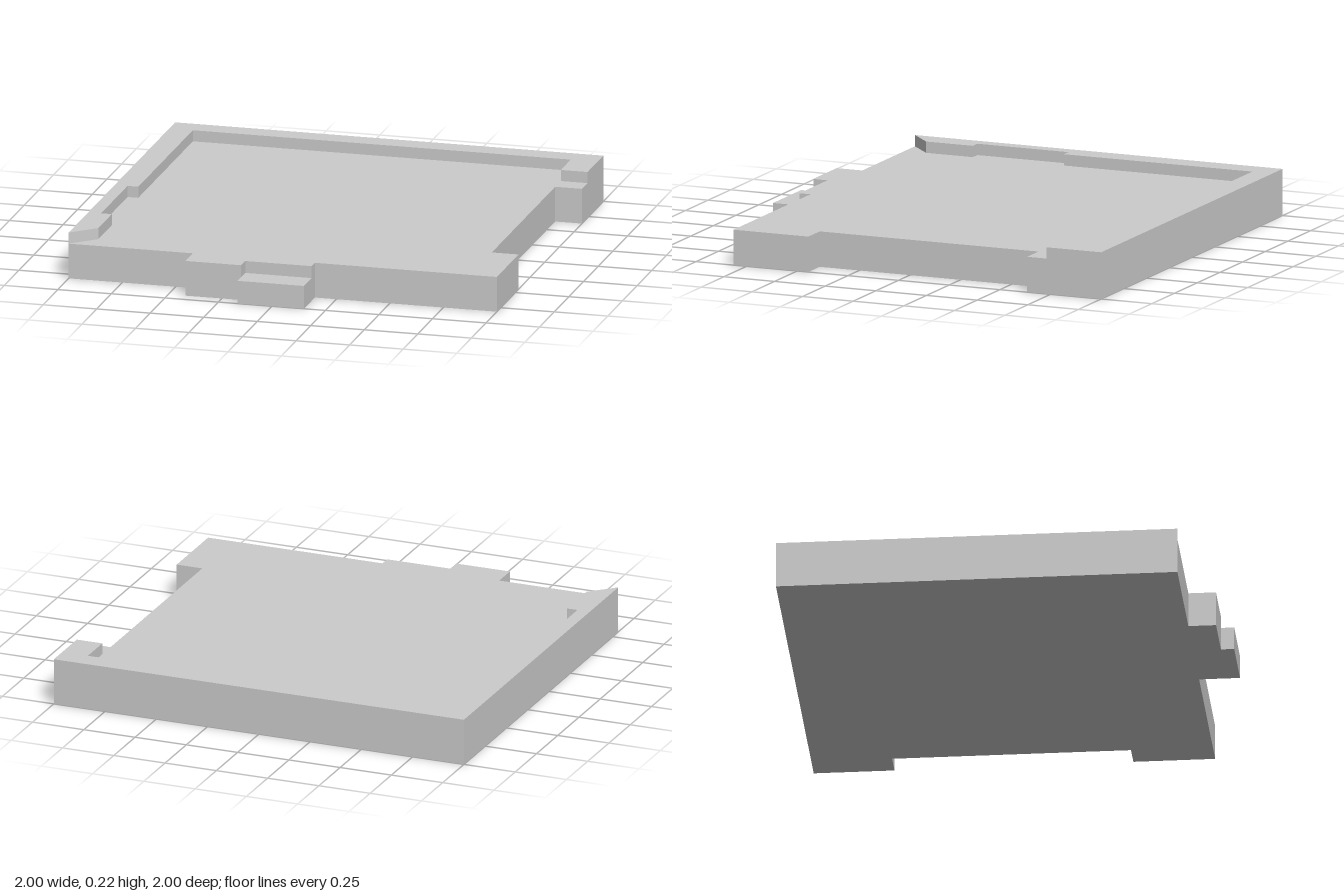
import * as THREE from 'three';

const material = new THREE.MeshStandardMaterial({ color: 0xcccccc, flatShading: true });

// Extrudes a plan outline of [x, z] points upward from y0 to y1.
function slab(name, outline, y0, y1) {
  const shape = new THREE.Shape(outline.map(([x, z]) => new THREE.Vector2(x, -z)));
  const geometry = new THREE.ExtrudeGeometry(shape, { depth: y1 - y0, bevelEnabled: false });
  geometry.rotateX(-Math.PI / 2).translate(0, y0, 0);
  const mesh = new THREE.Mesh(geometry, material);
  mesh.name = name;
  return mesh;
}

export function createModel() {
  const group = new THREE.Group();
  group.name = 'floorSlab';

  // Main floor, with a recess on the left side and a landing at the front
  group.add(slab('floor', [
    [-1, 0.815], [-0.42, 0.815], [-0.42, 0.94], [-0.16, 0.94], [-0.16, 0.87],
    [0.15, 0.87], [0.15, 0.815], [1, 0.815], [1, 0.445], [0.875, 0.445],
    [0.875, -0.635], [1, -0.635], [1, -1], [-1, -1],
  ], 0, 0.163));

  // Lower step in front of the landing
  group.add(slab('frontStep', [
    [-0.16, 1], [0.15, 1], [0.15, 0.87], [-0.16, 0.87],
  ], 0, 0.107));

  // Raised rim along the right side and back, with a shallow niche and mitred end
  group.add(slab('rim', [
    [-1, 0.815], [-0.89, 0.71], [-0.89, 0.48], [-0.94, 0.48], [-0.94, 0.03],
    [-0.89, 0.03], [-0.89, -0.9], [0.875, -0.9], [0.875, -0.73], [1, -0.73],
    [1, -1], [-1, -1],
  ], 0.163, 0.215));

  return group;
}
